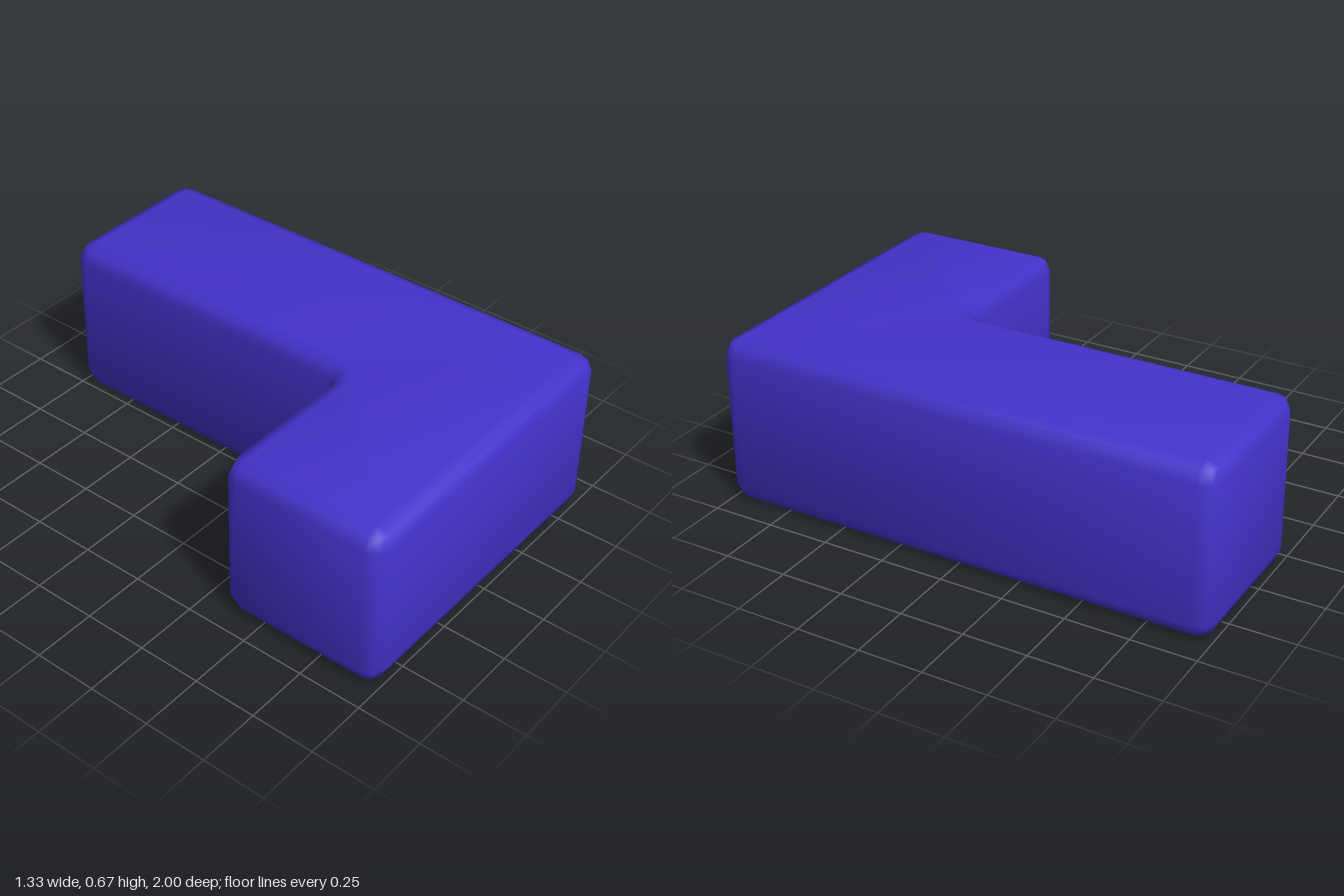
import * as THREE from 'three';

const R = 0.067;      // bevel radius
const H = 0.667;      // block height
const STEPS = 2;      // segments per bevel
const rad = THREE.MathUtils.degToRad;

// L-shaped plan, counter-clockwise in (x, -z): corner u, v, and the edge normal angles before and after it
const CORNERS = [
  [-0.667, -1, 180, 270],
  [0.667, -1, 270, 360],
  [0.667, 1, 0, 90],
  [0, 1, 90, 180],
  [0, -0.333, 180, 90],   // inner corner
  [-0.667, -0.333, 90, 180],
];

// normals lean slightly into the bevel at its ends, for a soft look
const soften = (t) => 0.125 + 0.75 * t;

function beveledBlock() {
  const positions = [], normals = [], index = [];
  const perRing = CORNERS.length * (STEPS + 1);

  // one outline at a given bevel angle phi (-90 underside, 0 wall, 90 top)
  function addRing(phi, lean, yCentre) {
    const inset = R * (1 - Math.cos(rad(phi)));
    const y = yCentre + R * Math.sin(rad(phi));
    const isCap = Math.abs(phi) === 90;
    for (const [u, v, a0, a1] of CORNERS) {
      const side = a1 > a0 ? 1 : -1;   // 1 outer corner, -1 inner corner
      const cu = u - side * R * (Math.cos(rad(a0)) + Math.cos(rad(a1)));
      const cv = v - side * R * (Math.sin(rad(a0)) + Math.sin(rad(a1)));
      const radius = side * R - inset;
      for (let j = 0; j <= STEPS; j++) {
        const t = j / STEPS;
        const a = rad(a0 + (a1 - a0) * t);
        positions.push(cu + radius * Math.cos(a), y, -(cv + radius * Math.sin(a)));
        const n = rad(a0 + (a1 - a0) * (isCap && side > 0 ? 0.5 : soften(t)));
        const c = Math.cos(rad(lean));
        normals.push(c * Math.cos(n), Math.sin(rad(lean)), -c * Math.sin(n));
      }
    }
  }

  for (let i = 0; i <= STEPS; i++) {
    addRing(-90 + 90 * i / STEPS, -90 + 90 * soften(i / STEPS), R);
  }
  for (let i = 0; i <= STEPS; i++) {
    addRing(90 * i / STEPS, 90 * soften(i / STEPS), H - R);
  }

  // walls and bevels between neighbouring rings
  const rings = 2 * (STEPS + 1);
  for (let i = 0; i < rings - 1; i++) {
    for (let j = 0; j < perRing; j++) {
      const a = i * perRing + j, b = i * perRing + (j + 1) % perRing;
      index.push(a, b, b + perRing, a, b + perRing, a + perRing);
    }
  }

  // flat top and underside; outer corners meet in a single point there
  const capIds = [];
  CORNERS.forEach(([, , a0, a1], k) => {
    const first = k * (STEPS + 1);
    if (a1 > a0) capIds.push(first + STEPS / 2);
    else for (let j = 0; j <= STEPS; j++) capIds.push(first + j);
  });
  const contour = capIds.map((id) => new THREE.Vector2(positions[3 * id], -positions[3 * id + 2]));
  const topStart = (rings - 1) * perRing;
  for (const face of THREE.ShapeUtils.triangulateShape(contour, [])) {
    const [a, b, c] = face.map((f) => capIds[f]);
    index.push(topStart + a, topStart + b, topStart + c);
    index.push(c, b, a);
  }

  const geometry = new THREE.BufferGeometry();
  geometry.setAttribute('position', new THREE.Float32BufferAttribute(positions, 3));
  geometry.setAttribute('normal', new THREE.Float32BufferAttribute(normals, 3));
  geometry.setIndex(index);
  return geometry;
}

export function createModel() {
  const group = new THREE.Group();
  group.name = 'cornerBlock';
  const block = new THREE.Mesh(beveledBlock(), new THREE.MeshStandardMaterial({ color: 0x4433cc }));
  block.name = 'lShapedBlock';
  group.add(block);
  return group;
}
